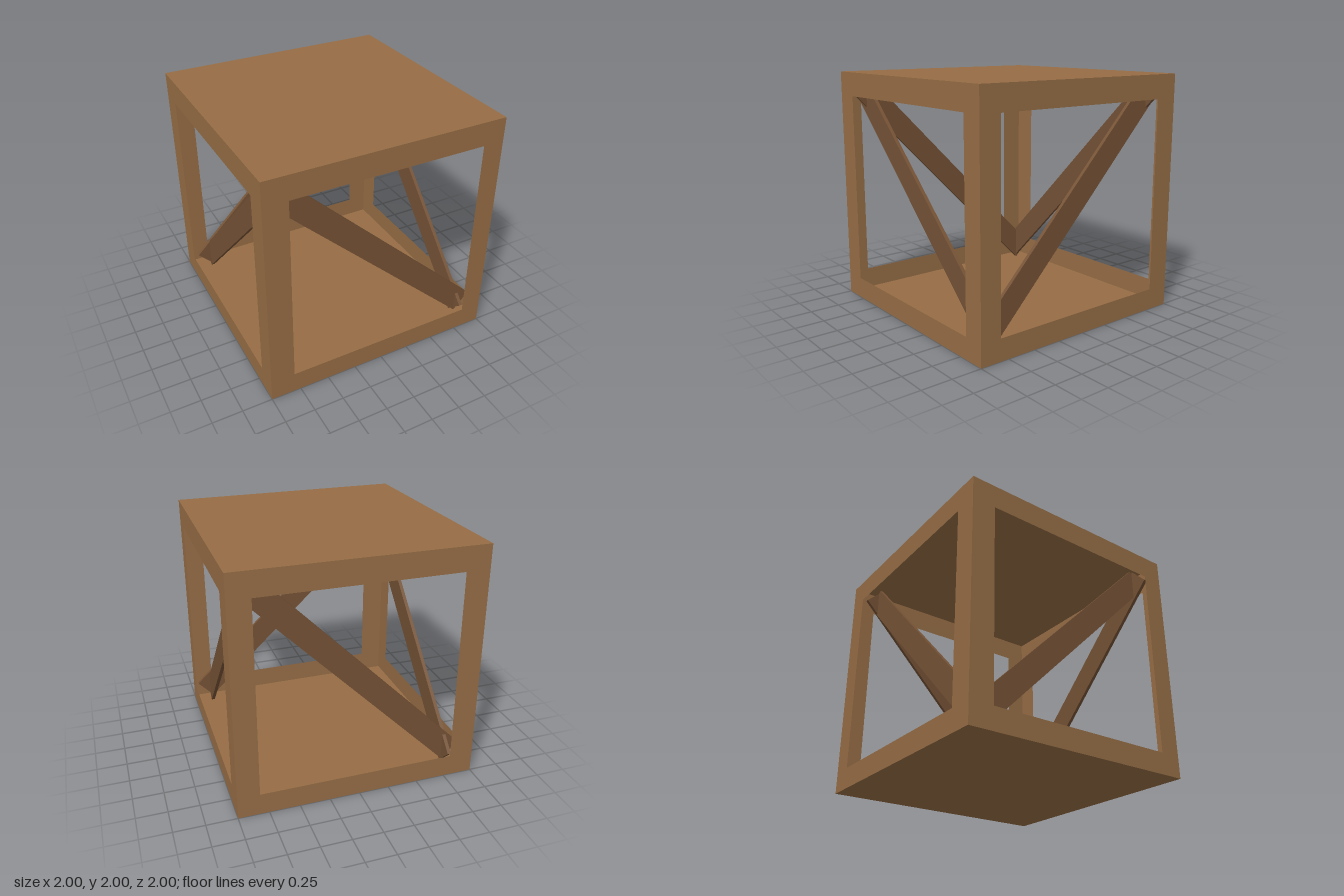
import * as THREE from 'three';

export function createModel() {
  const model = new THREE.Group();
  const frameWood = new THREE.MeshStandardMaterial({ color: 0x966d45, side: THREE.DoubleSide });
  frameWood.name = 'frameWood';
  const braceWood = new THREE.MeshStandardMaterial({ color: 0x755235 });
  braceWood.name = 'braceWood';

  const rectangle = (path, x0, y0, x1, y1) =>
    path.moveTo(x0, y0).lineTo(x1, y0).lineTo(x1, y1).lineTo(x0, y1).closePath();

  // Thin side wall with a large square opening
  const wallShape = new THREE.Shape();
  rectangle(wallShape, -1, 0, 1, 2);
  const opening = new THREE.Path();
  rectangle(opening, -0.8, 0.18, 0.82, 1.8);
  wallShape.holes.push(opening);
  const wallGeometry = new THREE.ShapeGeometry(wallShape);

  // Each side: wall offset, brace offset, brace centre height, brace slope in degrees.
  // alongZ sides are turned so that the shape's x runs along world z.
  const sides = [
    { name: 'front', alongZ: false, wall: 1, brace: 0.85, y: 1, slope: -43.4 },
    { name: 'back', alongZ: false, wall: -1, brace: -0.82, y: 1, slope: 45 },
    { name: 'left', alongZ: true, wall: 1, brace: 0.85, y: 1, slope: -45.8 },
    { name: 'right', alongZ: true, wall: -1, brace: -0.82, y: 0.98, slope: 45 },
  ];
  for (const s of sides) {
    const side = new THREE.Group();
    side.name = s.name + 'Side';
    const sign = s.alongZ ? -1 : 1; // turned local z points to -x
    if (s.alongZ) side.rotation.y = -Math.PI / 2;

    const wall = new THREE.Mesh(wallGeometry, frameWood);
    wall.name = s.name + 'Frame';
    wall.position.z = sign * s.wall;

    const brace = new THREE.Mesh(new THREE.BoxGeometry(2.5, 0.2, 0.03), braceWood);
    brace.name = s.name + 'DiagonalBrace';
    brace.position.set(0, s.y, sign * s.brace);
    brace.rotation.z = THREE.MathUtils.degToRad(s.slope);

    side.add(wall, brace);
    model.add(side);
  }

  // Solid top and floor panels
  for (const [name, y] of [['topPanel', 2], ['floorPanel', 0]]) {
    const geometry = new THREE.PlaneGeometry(2, 2).rotateX(y ? -Math.PI / 2 : Math.PI / 2);
    const panel = new THREE.Mesh(geometry, frameWood);
    panel.name = name;
    panel.position.y = y;
    model.add(panel);
  }
  return model;
}
